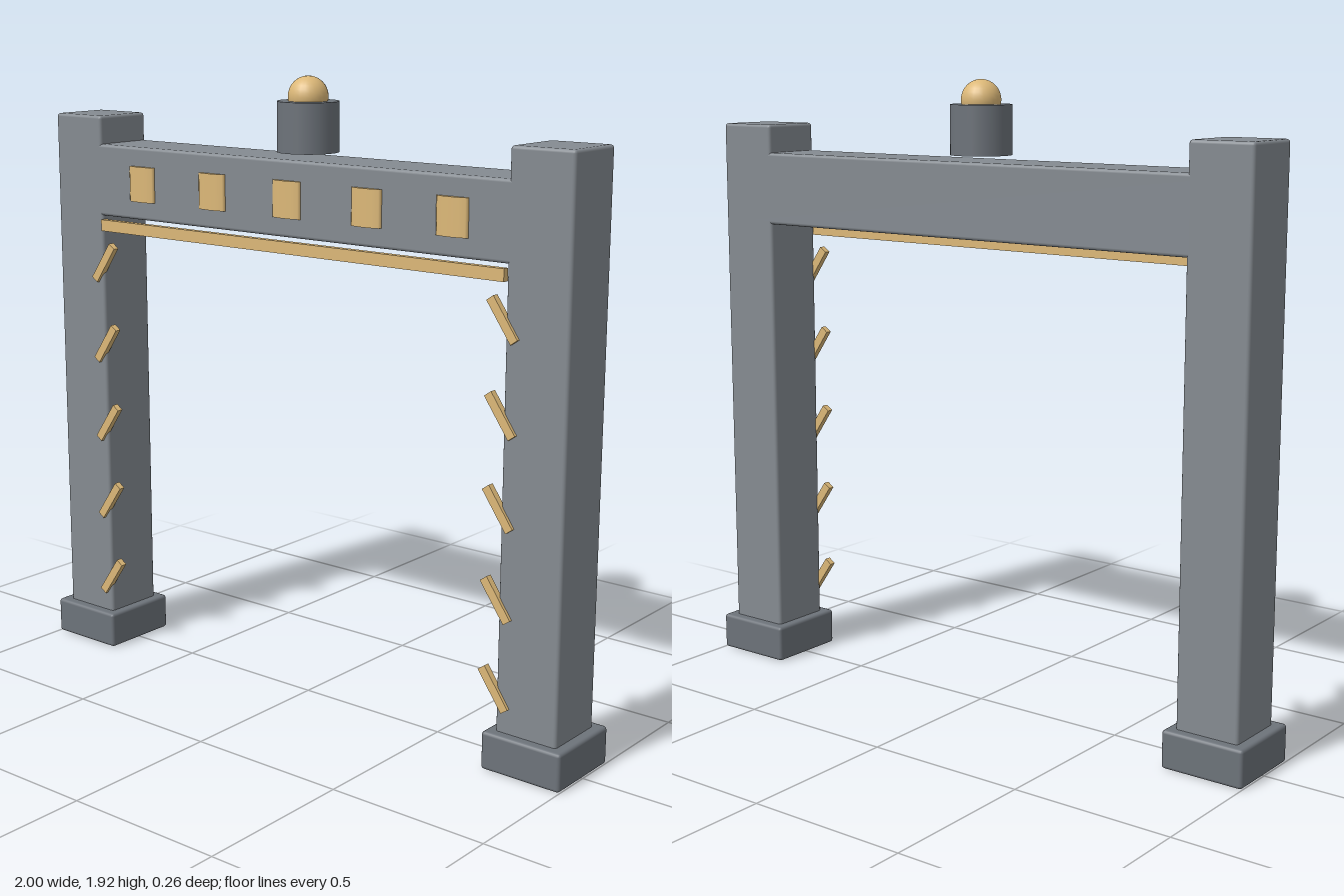
import * as THREE from 'three';
import { RoundedBoxGeometry } from 'three/addons/geometries/RoundedBoxGeometry.js';

export function createModel() {
  const model = new THREE.Group();
  model.name = 'gateway';
  const stone = new THREE.MeshStandardMaterial({ color: 0x858b91 });
  const darkStone = new THREE.MeshStandardMaterial({ color: 0x6d737a });
  const gold = new THREE.MeshStandardMaterial({ color: 0xdcb878 });

  const add = (name, geometry, material, x, y, z) => {
    const mesh = new THREE.Mesh(geometry, material);
    mesh.name = name;
    mesh.position.set(x, y, z);
    model.add(mesh);
    return mesh;
  };
  const block = (w, h, d) => new RoundedBoxGeometry(w, h, d, 2, 0.01);

  // Posts with feet and slanted slats on the inner front edges
  const postGeometry = block(0.2, 1.7, 0.2);
  const footGeometry = block(0.26, 0.115, 0.26);
  const slatGeometry = new THREE.BoxGeometry(0.14, 0.027, 0.02);
  for (const side of [-1, 1]) {
    const prefix = side > 0 ? 'left' : 'right';
    add(prefix + 'Post', postGeometry, stone, side * 0.868, 0.917, 0);
    add(prefix + 'Foot', footGeometry, darkStone, side * 0.87, 0.0575, 0);
    for (let i = 0; i < 5; i++) {
      const slat = add(prefix + 'Slat', slatGeometry, gold, side * 0.762, 0.24 + i * 0.265, 0.1);
      slat.rotation.z = -side * THREE.MathUtils.degToRad(55);
    }
  }

  // Lintel and the thin strip hanging just below it
  add('lintel', block(1.74, 0.227, 0.2), stone, 0, 1.565, 0);
  add('lintelStrip', new THREE.BoxGeometry(1.53, 0.036, 0.02), gold, 0, 1.422, 0.1);

  // Shallow curved studs along the lintel
  const studGeometry = new THREE.CylinderGeometry(0.054, 0.054, 0.11, 12);
  studGeometry.scale(1, 1, 0.24);
  for (let i = -2; i <= 2; i++) add('stud', studGeometry, gold, i * 0.294, 1.564, 0.1);

  // Crowning drum and ball
  add('crownDrum', new THREE.CylinderGeometry(0.093, 0.093, 0.148, 18), darkStone, 0, 1.769, 0);
  add('crownBall', new THREE.SphereGeometry(0.06, 24, 16), gold, 0, 1.856, 0);

  return model;
}
